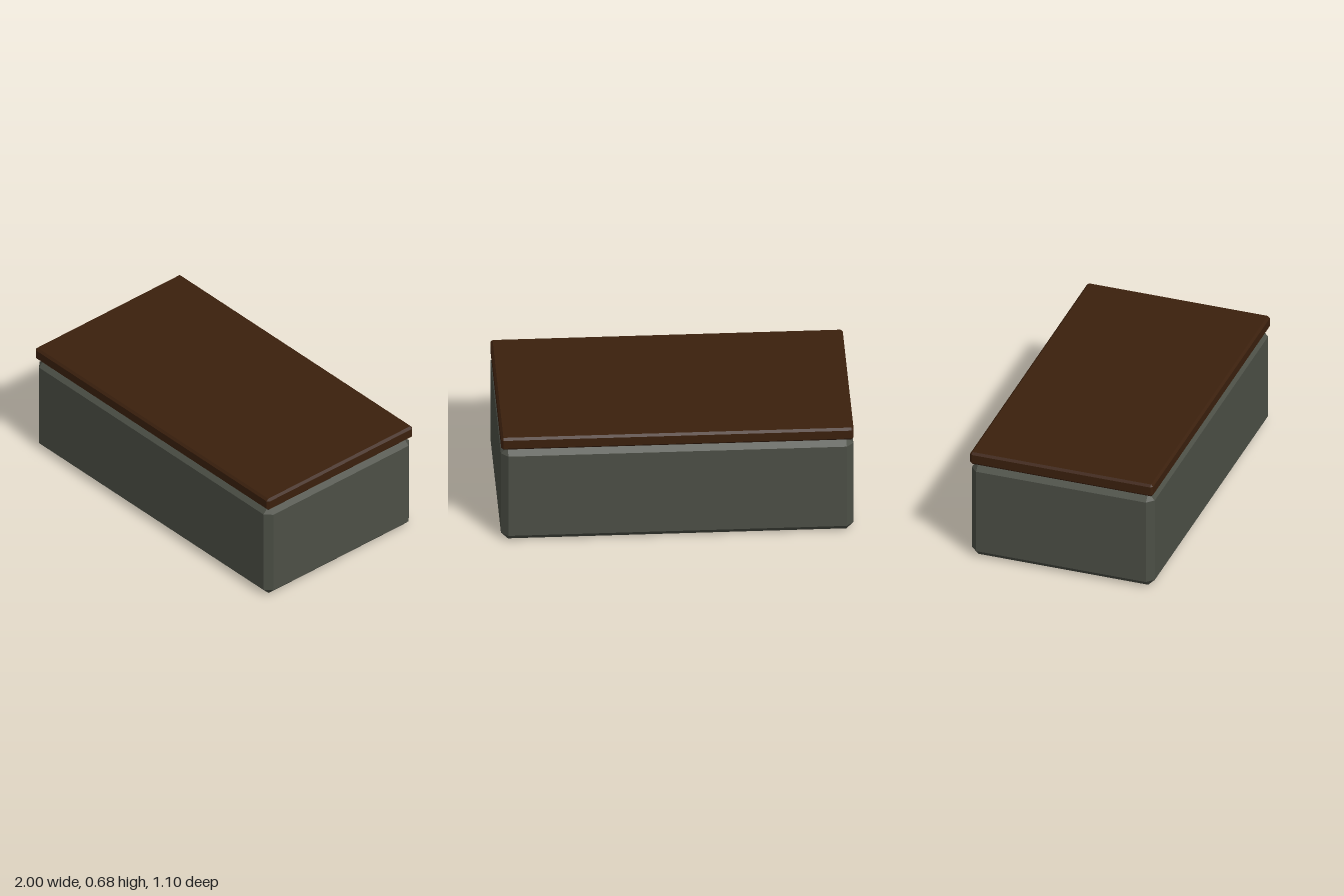
import * as THREE from 'three';
import { ConvexGeometry } from 'three/addons/geometries/ConvexGeometry.js';

// Box with flat 45-degree bevels: each corner becomes three points, one per face
function bevelledBox(width, height, depth, bevel) {
  const half = [width / 2, height / 2, depth / 2];
  const points = [];
  for (const sx of [-1, 1]) for (const sy of [-1, 1]) for (const sz of [-1, 1]) {
    for (let face = 0; face < 3; face++) {
      const p = [sx, sy, sz].map((s, i) => s * (half[i] - (i === face ? 0 : bevel)));
      points.push(new THREE.Vector3(...p));
    }
  }
  return new ConvexGeometry(points);
}

export function createModel() {
  const stone = new THREE.MeshStandardMaterial({ color: 0x4c4f46, flatShading: true });
  stone.name = 'greyGreenStone';
  const wood = new THREE.MeshStandardMaterial({ color: 0x3b200d, flatShading: true });
  wood.name = 'darkWood';

  const model = new THREE.Group();
  model.name = 'bench';

  // Heavy base block
  const base = new THREE.Mesh(bevelledBox(2, 0.604, 1.1, 0.04), stone);
  base.name = 'base';
  base.position.y = 0.302;
  model.add(base);

  // Wooden top slab
  const top = new THREE.Mesh(bevelledBox(2, 0.078, 1.1, 0.013), wood);
  top.name = 'topSlab';
  top.position.y = 0.643;
  model.add(top);

  return model;
}
